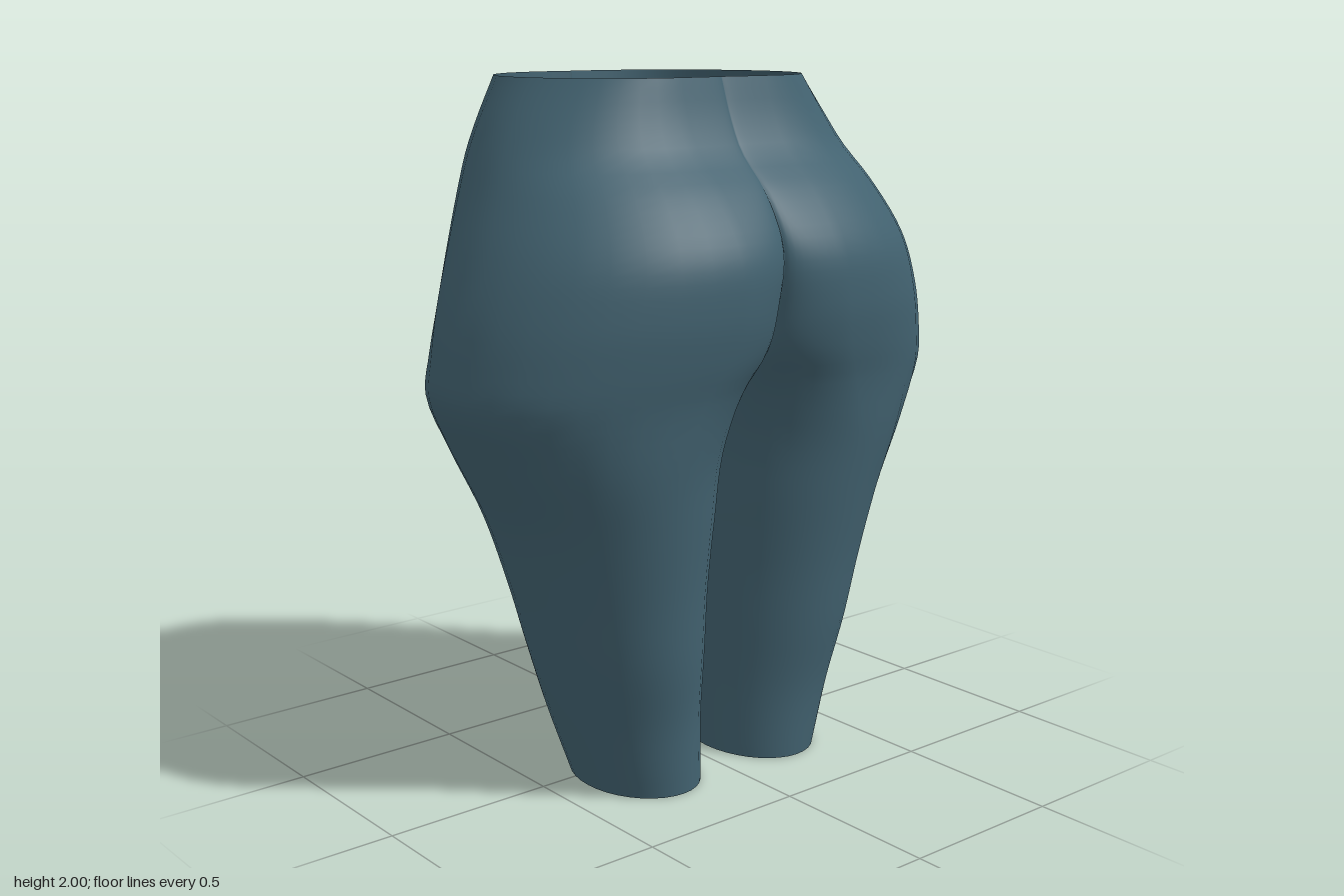
import * as THREE from 'three';
import { mergeVertices } from 'three/addons/utils/BufferGeometryUtils.js';

const CROTCH = 1.16;
// Half-body sections, bottom to top. "back" here means the +z side, "belly" the -z side.
// outer x, inner x, z of widest point, +z bulge (x, z), +z midline z, -z bulge (x, z), -z midline z
const SECTIONS = [
  [0.00, [0.395, 0.055, 0.075, 0.22, 0.295, 0.075, 0.22, -0.15, 0.075]],
  [0.20, [0.455, 0.050, 0.06, 0.25, 0.31, 0.06, 0.25, -0.21, 0.06]],
  [0.40, [0.510, 0.045, 0.05, 0.28, 0.345, 0.05, 0.28, -0.25, 0.05]],
  [0.60, [0.565, 0.038, 0.04, 0.30, 0.37, 0.04, 0.30, -0.285, 0.04]],
  [0.80, [0.630, 0.020, 0.03, 0.32, 0.40, 0.04, 0.33, -0.325, 0.02]],
  [1.00, [0.730, 0.010, 0.03, 0.33, 0.43, 0.08, 0.36, -0.37, -0.04]],
  [CROTCH, [0.805, 0, 0.05, 0.28, 0.455, 0.20, 0.38, -0.39, -0.24]],
  [1.27, [0.798, 0, 0.04, 0.23, 0.485, 0.35, 0.33, -0.37, -0.34]],
  [1.40, [0.770, 0, 0.02, 0.20, 0.505, 0.41, 0.18, -0.395, -0.39]],
  [1.55, [0.712, 0, 0.00, 0.19, 0.49, 0.44, 0.12, -0.445, -0.44]],
  [1.70, [0.640, 0, -0.04, 0.19, 0.39, 0.37, 0.10, -0.485, -0.48]],
  [1.80, [0.590, 0, -0.07, 0.19, 0.285, 0.275, 0.10, -0.495, -0.49]],
  [1.88, [0.543, 0, -0.09, 0.19, 0.24, 0.232, 0.09, -0.498, -0.495]],
  [2.00, [0.460, 0, -0.12, 0.18, 0.20, 0.188, 0.08, -0.505, -0.50]],
];
const QUARTER = 9; // steps per quarter arc
const INNER = 8; // steps along the inner thigh
const RING = INNER + 4 * QUARTER;

const sampler = new THREE.CubicInterpolant(
  SECTIONS.map((s) => s[0]), SECTIONS.flatMap((s) => s[1]), 9, new Float32Array(9));

// Closed ring of [x, z] points around one half of the body at height y
function ringAt(y) {
  let [xo, xi, cz, xb, zb, mb, xf, zf, mf] = sampler.evaluate(y);
  xi = y >= CROTCH - 1e-6 ? 0 : Math.max(xi, 0.004);
  mf = Math.min(mf, mb);
  const pts = [];
  for (let i = 0; i < INNER; i++) pts.push([xi, mf + (mb - mf) * i / INNER]);
  // each arc: centre x, x radius, centre z, z radius, start angle
  const arcs = [
    [xb, xb - xi, mb, zb - mb, Math.PI],
    [xb, xo - xb, cz, zb - cz, Math.PI / 2],
    [xf, xo - xf, cz, cz - zf, 0],
    [xf, xf - xi, mf, mf - zf, -Math.PI / 2],
  ];
  for (const [cx, rx, z0, rz, start] of arcs) {
    for (let i = 0; i < QUARTER; i++) {
      const a = start - (i / QUARTER) * Math.PI / 2;
      pts.push([cx + rx * Math.cos(a), z0 + rz * Math.sin(a)]);
    }
  }
  return pts;
}

export function createModel() {
  const skin = new THREE.MeshStandardMaterial({ color: 0x426270, side: THREE.DoubleSide });
  skin.name = 'slate blue';

  const heights = [];
  const legRows = 28, torsoRows = 28;
  for (let i = 0; i < legRows; i++) heights.push(CROTCH * i / legRows);
  for (let i = 0; i <= torsoRows; i++) heights.push(CROTCH + (2 - CROTCH) * i / torsoRows);

  // Both halves share one vertex list so the shading is continuous
  const rings = heights.map(ringAt);
  const positions = [];
  for (const side of [1, -1]) {
    rings.forEach((ring, r) => ring.forEach(([x, z]) => positions.push(side * x, heights[r], z)));
  }

  // Faces between rows; the torso leaves out the inner wall so it stays hollow
  function faces(side, from, to, firstStep) {
    const out = [];
    const base = side > 0 ? 0 : heights.length * RING;
    for (let r = from; r < to; r++) {
      for (let k = firstStep; k < RING; k++) {
        const a = base + r * RING + k;
        const b = base + r * RING + (k + 1) % RING;
        const c = a + RING, d = b + RING;
        if (side > 0) out.push(a, b, c, b, d, c);
        else out.push(a, c, b, b, c, d);
      }
    }
    return out;
  }
  const last = heights.length - 1;
  const parts = {
    leftLeg: faces(1, 0, legRows, 0),
    rightLeg: faces(-1, 0, legRows, 0),
    torso: [...faces(1, legRows, last, INNER), ...faces(-1, legRows, last, INNER)],
  };

  let body = new THREE.BufferGeometry();
  body.setAttribute('position', new THREE.Float32BufferAttribute(positions, 3));
  body.setIndex(Object.values(parts).flat());
  body = mergeVertices(body, 1e-4);
  body.computeVertexNormals();

  // Split into named parts that keep the shared normals
  const model = new THREE.Group();
  model.name = 'lowerBodyForm';
  const index = Array.from(body.index.array);
  let offset = 0;
  for (const [name, list] of Object.entries(parts)) {
    const geometry = new THREE.BufferGeometry();
    geometry.setAttribute('position', body.attributes.position);
    geometry.setAttribute('normal', body.attributes.normal);
    geometry.setIndex(index.slice(offset, offset + list.length));
    offset += list.length;
    const mesh = new THREE.Mesh(geometry, skin);
    mesh.name = name;
    model.add(mesh);
  }
  return model;
}
